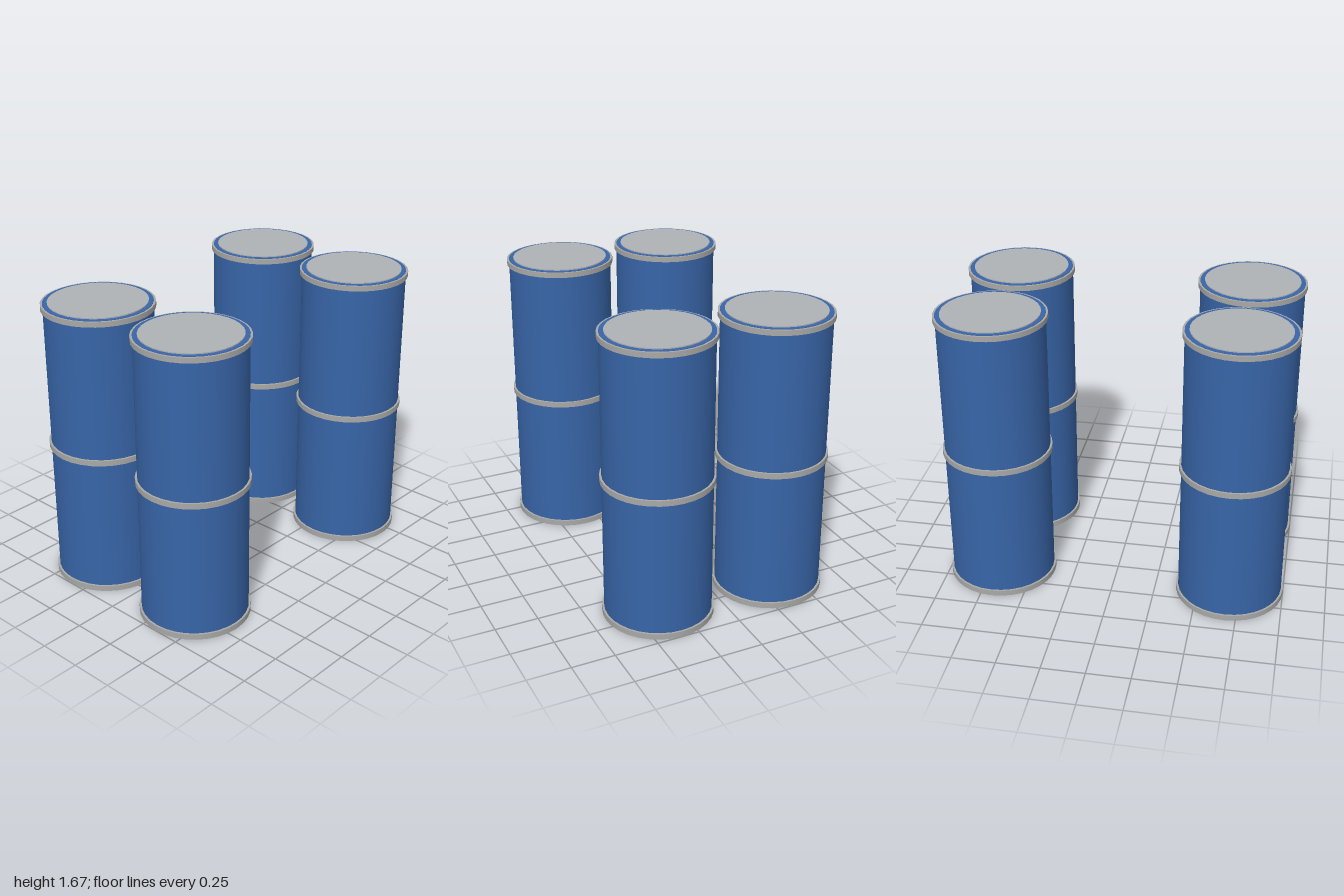
import * as THREE from 'three';

const SEGMENTS = 32;

export function createModel() {
  const blue = new THREE.MeshStandardMaterial({ name: 'blue paint', color: 0x3865a8 });
  const steel = new THREE.MeshStandardMaterial({ name: 'steel hoop', color: 0xa9a9a8 });
  const lidGrey = new THREE.MeshStandardMaterial({ name: 'lid grey', color: 0xb0b3b6 });

  // Upright disc or cylinder spanning y0 to y1
  function cylinder(name, radius, y0, y1, material) {
    const geometry = new THREE.CylinderGeometry(radius, radius, y1 - y0, SEGMENTS);
    const mesh = new THREE.Mesh(geometry, material);
    mesh.name = name;
    mesh.position.y = (y0 + y1) / 2;
    return mesh;
  }

  function createDrum(name) {
    const drum = new THREE.Group();
    drum.name = name;
    drum.add(
      // Body top sits just above the top hoop, so a blue ring surrounds the lid
      cylinder('body', 0.303, 0.01, 1.669, blue),
      cylinder('bottomHoop', 0.315, 0, 0.033, steel),
      cylinder('middleHoop', 0.315, 0.818, 0.85, steel),
      cylinder('topHoop', 0.315, 1.637, 1.667, steel),
      cylinder('lid', 0.277, 1.66, 1.675, lidGrey),
    );
    return drum;
  }

  // Four drums in two pairs
  const model = new THREE.Group();
  model.name = 'drums';
  for (const [side, x] of [['left', 0.685], ['right', -0.685]]) {
    for (const [end, z] of [['Front', 0.35], ['Back', -0.35]]) {
      const drum = createDrum(`${side}${end}Drum`);
      drum.position.set(x, 0, z);
      model.add(drum);
    }
  }
  return model;
}
